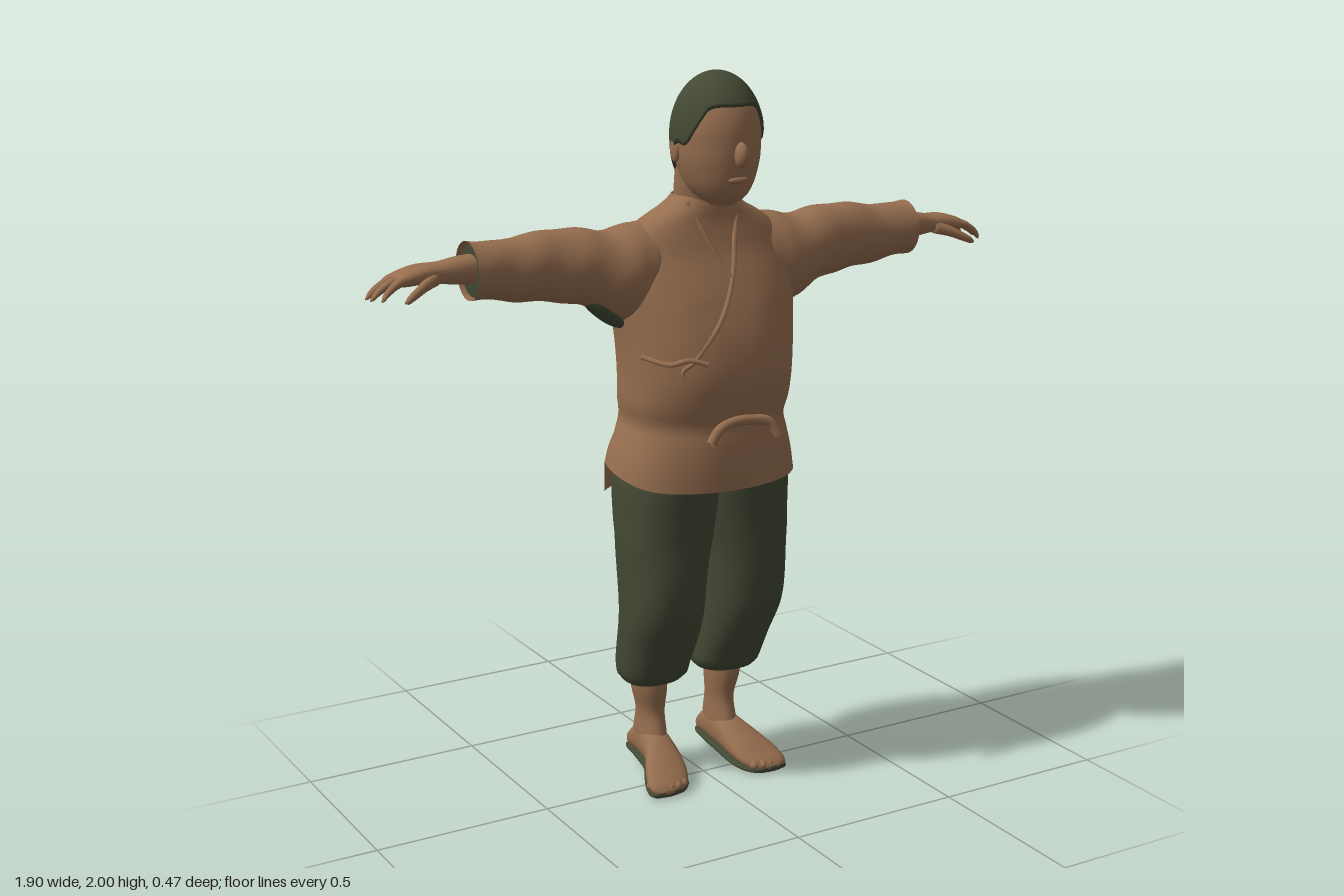
import * as THREE from 'three';

const brown = new THREE.MeshStandardMaterial({ color: 0x966e4f, side: THREE.DoubleSide });
brown.name = 'warm brown';
const green = new THREE.MeshStandardMaterial({ color: 0x434934, side: THREE.DoubleSide });
green.name = 'dark olive';

// Smooth interpolation of rows [t, a, b, ...] at t
function sample(rows, t) {
  let i = 0;
  while (i < rows.length - 2 && t > rows[i + 1][0]) i++;
  const p = rows[i], q = rows[i + 1], o = rows[Math.max(i - 1, 0)], r = rows[Math.min(i + 2, rows.length - 1)];
  const h = q[0] - p[0], s = Math.min(Math.max((t - p[0]) / h, 0), 1), s2 = s * s, s3 = s2 * s;
  return p.slice(1).map((v, k) => {
    const w = q[k + 1];
    const m0 = (w - o[k + 1]) / (q[0] - o[0]) * h, m1 = (r[k + 1] - v) / (r[0] - p[0]) * h;
    return (2 * s3 - 3 * s2 + 1) * v + (s3 - 2 * s2 + s) * m0 + (3 * s2 - 2 * s3) * w + (s3 - s2) * m1;
  });
}

// Closed rings of points joined into a smooth skin
function skin(around, steps, point, caps = [true, true]) {
  const pos = [], index = [];
  for (let j = 0; j <= steps; j++)
    for (let i = 0; i < around; i++) pos.push(...point(i / around * Math.PI * 2, j / steps));
  for (let j = 0; j < steps; j++)
    for (let i = 0; i < around; i++) {
      const a = j * around + i, b = j * around + (i + 1) % around;
      index.push(a, b, b + around, a, b + around, a + around);
    }
  caps.forEach((on, end) => {
    if (!on) return;
    const base = end ? steps * around : 0, c = [0, 0, 0], pole = pos.length / 3;
    for (let i = 0; i < around; i++) for (let k = 0; k < 3; k++) c[k] += pos[(base + i) * 3 + k] / around;
    pos.push(...c);
    for (let i = 0; i < around; i++) {
      const a = base + i, b = base + (i + 1) % around;
      index.push(...(end ? [a, b, pole] : [b, a, pole]));
    }
  });
  const g = new THREE.BufferGeometry();
  g.setAttribute('position', new THREE.Float32BufferAttribute(pos, 3));
  g.setIndex(index);
  g.computeVertexNormals();
  return g;
}

// Loft through rows [t, uLow, uHigh, vLow, vHigh] along an axis
// y: u = x, v = z    x: u = z, v = y    z: u = y, v = x
function loft(axis, rows, { around = 32, steps = 30, n = 2, caps, ripple = () => 0, warp = p => p } = {}) {
  const t0 = rows[0][0], t1 = rows[rows.length - 1][0], pw = x => Math.sign(x) * Math.abs(x) ** (2 / n);
  return skin(around, steps, (a, f) => {
    const t = t0 + (t1 - t0) * f, [ul, uh, vl, vh] = sample(rows, t), k = 1 + ripple(a, t);
    const u = (ul + uh) / 2 + (uh - ul) / 2 * pw(Math.sin(a)) * k;
    const v = (vl + vh) / 2 + (vh - vl) / 2 * pw(Math.cos(a)) * k;
    return warp(axis === 'y' ? [u, t, v] : axis === 'x' ? [t, v, u] : [v, u, t], a);
  }, caps);
}

function mirrored(geometry) {
  const g = geometry.clone().scale(-1, 1, 1), ix = g.index.array;
  for (let i = 0; i < ix.length; i += 3) [ix[i], ix[i + 1]] = [ix[i + 1], ix[i]];
  g.computeVertexNormals();
  return g;
}

const ball = (x, y, z, rx, ry, rz) => new THREE.SphereGeometry(1, 20, 14).scale(rx, ry, rz).translate(x, y, z);

const TORSO = [
  [0.88, -0.266, 0.266, -0.235, 0.185], [0.95, -0.255, 0.255, -0.23, 0.187], [1.02, -0.238, 0.238, -0.215, 0.185],
  [1.065, -0.228, 0.228, -0.2, 0.18], [1.12, -0.238, 0.238, -0.192, 0.195], [1.2, -0.24, 0.24, -0.195, 0.21],
  [1.3, -0.248, 0.248, -0.2, 0.197], [1.4, -0.262, 0.262, -0.2, 0.163], [1.46, -0.265, 0.265, -0.188, 0.135],
  [1.52, -0.255, 0.255, -0.165, 0.105], [1.57, -0.225, 0.225, -0.125, 0.088], [1.61, -0.175, 0.175, -0.1, 0.078],
  [1.645, -0.11, 0.11, -0.088, 0.075], [1.67, -0.085, 0.085, -0.075, 0.07]];
const TORSO_N = 2.3;
function chestPoint(x, y, out = 0) {
  const [, w, b, f] = sample(TORSO, y);
  const r = Math.max(0, 1 - Math.abs(x / w) ** TORSO_N) ** (1 / TORSO_N);
  return new THREE.Vector3(x, y, (b + f) / 2 + (f - b) / 2 * r + out);
}

// Head cross-section at a height: half width, back z, front z
const JAW = [[1.652, 0.03, 0.06, 0.13], [1.67, 0.06, 0.02, 0.158], [1.7, 0.084, -0.015, 0.176],
  [1.74, 0.101, -0.04, 0.186], [1.78, 0.111, -0.052, 0.191], [1.83, 0.114, -0.055, 0.191]];
function headPoint(a, y, grow = 1) {
  let w, b, f;
  if (y > 1.83) {
    const s = Math.sqrt(Math.max(0, 1 - ((y - 1.83) / 0.157) ** 2));
    [w, b, f] = [0.114 * s, 0.068 - 0.123 * s, 0.068 + 0.123 * s];
  } else [w, b, f] = sample(JAW, y);
  return [w * Math.sin(a) * grow, 1.83 + (y - 1.83) * grow, 0.068 + ((b + f) / 2 - 0.068 + (f - b) / 2 * Math.cos(a)) * grow];
}
const HAIRLINE = [[0, 1.912], [0.75, 1.905], [1.0, 1.865], [1.3, 1.815], [1.6, 1.82], [1.9, 1.77], [2.3, 1.74], [3.15, 1.73]];

export function createModel() {
  const model = new THREE.Group();
  model.name = 'figure';
  const add = (name, geometry, material = brown) => {
    const m = new THREE.Mesh(geometry, material);
    m.name = name;
    model.add(m);
  };
  const pair = (name, geometry, material) => {
    add(name + 'Left', geometry, material);
    add(name + 'Right', mirrored(geometry), material);
  };

  // Head, face and hair
  add('head', skin(40, 36, (a, f) => headPoint(a, 1.652 + 0.335 * Math.sin(f * Math.PI / 2))));
  add('hair', skin(56, 24, (a, f) => {
    const h = sample(HAIRLINE, Math.min(a, Math.PI * 2 - a))[0];
    if (f === 0) return headPoint(a, h, 0.98);
    const e = Math.sin((f - 1 / 24) / (23 / 24) * Math.PI / 2);
    return headPoint(a, h + (1.987 - h) * e, 1.075);
  }), green);
  add('nose', ball(0, 1.79, 0.192, 0.019, 0.034, 0.026));
  add('lips', ball(0, 1.724, 0.178, 0.03, 0.01, 0.012));
  pair('ear', ball(0.112, 1.795, 0.045, 0.011, 0.032, 0.02));
  add('neck', loft('y', [[1.57, -0.09, 0.09, -0.085, 0.072], [1.64, -0.084, 0.084, -0.08, 0.075],
    [1.7, -0.087, 0.087, -0.065, 0.085], [1.77, -0.09, 0.09, -0.052, 0.1]]));

  // Jacket body with side slits and a longer back hem
  add('jacket', loft('y', TORSO, {
    around: 72, steps: 48, n: TORSO_N, caps: [false, false],
    ripple: (a, t) => 0.008 * Math.sin(a * 7 + t * 9) * (t < 1.4 ? 1 : 0.2),
    warp: ([x, y, z], a) => {
      const b = Math.min(a, Math.PI * 2 - a);
      const hem = b < 1.84 ? 0.89 + 0.05 * (b / 1.84) ** 3 : 0.845 - 0.025 * (b - 1.84) / 1.3;
      return [x, y < 1.06 ? 1.06 - (1.06 - y) * (1.06 - hem) / 0.18 : y, z];
    }
  }));

  // Lapels, side tie and waist knot
  const cord = (name, points, r) =>
    add(name, new THREE.TubeGeometry(new THREE.CatmullRomCurve3(points), 32, r, 8));
  const onChest = (pts, out) => pts.map(([x, y]) => chestPoint(x, y, out));
  cord('lapelLeft', onChest([[0.078, 1.655], [0.045, 1.57], [0.01, 1.46], [-0.055, 1.35], [-0.13, 1.26]], 0), 0.007);
  cord('lapelRight', onChest([[-0.078, 1.655], [-0.05, 1.58], [-0.015, 1.5], [0.005, 1.46]], 0), 0.006);
  cord('sideTieLoop', onChest([[-0.235, 1.262], [-0.19, 1.25], [-0.15, 1.262], [-0.105, 1.25]], 0.008), 0.007);
  cord('sideTieEnd', onChest([[-0.14, 1.255], [-0.165, 1.23], [-0.15, 1.2]], 0.008), 0.006);
  cord('beltKnot', [[-0.1, 1.035, 0.04], [-0.075, 1.07, 0.035], [-0.03, 1.085, 0.02], [0.03, 1.085, 0.02],
    [0.08, 1.075, 0.035], [0.105, 1.035, 0.05]].map(([x, y, o]) => chestPoint(x, y, o)), 0.014);

  // Sleeves with dark cuff linings
  pair('sleeve', loft('x', [
    [0.1, -0.11, 0.06, 1.42, 1.61], [0.2, -0.14, 0.09, 1.33, 1.603], [0.28, -0.13, 0.085, 1.355, 1.59],
    [0.36, -0.115, 0.07, 1.395, 1.6], [0.45, -0.1, 0.055, 1.415, 1.605], [0.55, -0.098, 0.045, 1.425, 1.593],
    [0.64, -0.096, 0.045, 1.44, 1.588], [0.68, -0.098, 0.047, 1.442, 1.595]], {
    around: 40, steps: 40, caps: [true, false],
    ripple: (a, t) => (t > 0.2 ? 0.022 : 0) * Math.sin(t * 48 + Math.cos(a) * 3 + a)
  }));
  pair('cuffLining', loft('x', [[0.662, -0.09, 0.04, 1.448, 1.584], [0.668, -0.09, 0.04, 1.448, 1.584]], { steps: 1 }), green);
  add('underarmPatch', new THREE.SphereGeometry(1, 24, 16).scale(0.085, 0.026, 0.05).rotateZ(-0.72)
    .translate(-0.308, 1.386, -0.01), green);

  // Forearms, palms, fingers and thumbs
  pair('hand', loft('x', [[0.6, -0.065, 0.012, 1.482, 1.56], [0.7, -0.066, 0.012, 1.485, 1.558], [0.76, -0.066, 0.006, 1.492, 1.548],
    [0.81, -0.08, 0.008, 1.494, 1.545], [0.86, -0.083, 0.008, 1.493, 1.532], [0.88, -0.075, 0, 1.498, 1.522]], { around: 24, n: 2.4 }));
  [[-0.069, 0.92], [-0.047, 0.948], [-0.025, 0.945], [-0.004, 0.925]].forEach(([z, tip], i) => {
    const d = 0.004 * (i - 1.5), l = tip - 0.85;
    const row = (f, y, r) => [0.85 + l * f, z + d * f - r, z + d * f + r, y - r, y + r];
    pair('finger' + (i + 1), loft('x', [row(0, 1.515, 0.012), row(0.4, 1.507, 0.0125), row(0.75, 1.489, 0.011),
      row(0.95, 1.473, 0.008), row(1, 1.468, 0.003)], { around: 12, steps: 14 }));
  });
  pair('thumb', loft('x', [[0.77, -0.025, 0.008, 1.492, 1.53], [0.81, -0.005, 0.027, 1.483, 1.515],
    [0.845, 0.015, 0.042, 1.47, 1.496], [0.87, 0.029, 0.048, 1.461, 1.48], [0.878, 0.036, 0.044, 1.463, 1.47]],
  { around: 14, steps: 14 }));

  // Baggy trousers
  pair('trouserLeg', loft('y', [
    [0.285, 0.035, 0.203, -0.162, -0.014], [0.297, 0.02, 0.215, -0.175, 0], [0.34, 0.017, 0.222, -0.178, 0.025],
    [0.4, 0.017, 0.225, -0.172, 0.06], [0.5, 0.019, 0.235, -0.15, 0.108], [0.6, 0.013, 0.242, -0.142, 0.125],
    [0.7, 0, 0.247, -0.15, 0.128], [0.8, -0.02, 0.249, -0.17, 0.132], [0.9, -0.03, 0.246, -0.175, 0.14],
    [0.99, -0.03, 0.215, -0.165, 0.14]], {
    around: 40, steps: 40, n: 2.3, ripple: (a, t) => 0.014 * Math.sin(t * 22 + a * 3) * (t < 0.75 ? 1 : 0.3)
  }), green);

  // Shins, feet, toes and soles
  pair('shin', loft('y', [[0.06, 0.08, 0.152, -0.185, -0.03], [0.11, 0.077, 0.155, -0.178, -0.035],
    [0.18, 0.078, 0.152, -0.162, -0.052], [0.25, 0.072, 0.168, -0.165, -0.04], [0.33, 0.07, 0.18, -0.165, -0.035]], { around: 24 }));
  const FOOT = [[-0.2, 0.047, 0.065, 0.105, 0.125], [-0.19, 0.042, 0.09, 0.085, 0.147], [-0.13, 0.036, 0.135, 0.076, 0.155],
    [-0.05, 0.026, 0.125, 0.076, 0.166], [0.02, 0.016, 0.088, 0.078, 0.2], [0.07, 0.009, 0.055, 0.092, 0.219],
    [0.1, 0.006, 0.035, 0.12, 0.214], [0.111, 0.01, 0.022, 0.15, 0.19]];
  pair('foot', loft('z', FOOT, { around: 28, n: 2.3 }));
  pair('sole', loft('z', FOOT.map(([z, y, , l, r]) => [z, y - 0.006, y + 0.012, l - 0.003, r + 0.003]),
    { around: 24, n: 3 }), green);
  for (let i = 0; i < 5; i++) {
    const r = 0.017 - 0.0015 * i;
    pair('toe' + (i + 1), ball(0.117 + i * 0.023, 0.025, 0.093 - 0.005 * (i - 1.5) ** 2, r * 0.8, r * 0.85, r * 1.2));
  }
  return model;
}
